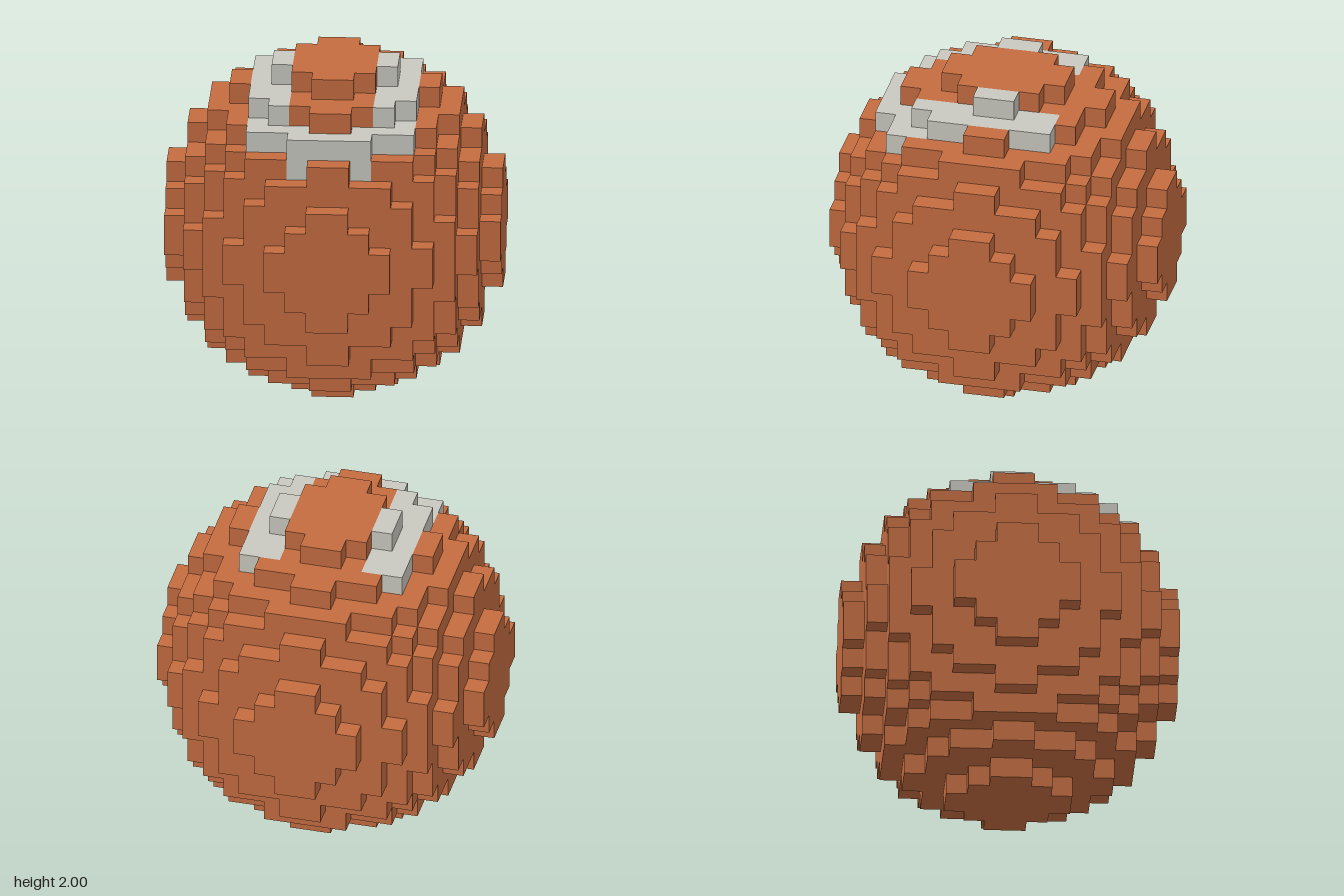
import * as THREE from 'three';
import { mergeGeometries } from 'three/addons/utils/BufferGeometryUtils.js';

const HALF = 8;              // blocks from centre to surface
const SIZE = 1 / HALF;       // edge of one block

// Is the block whose centre is (x, y, z), in block units, inside the ball?
const solid = (x, y, z) => x * x + y * y + z * z < HALF * HALF;

// U-shaped band painted over the crown, open towards the back
function inBand(x, y, z) {
  const ax = Math.abs(x);
  if (y < 0) return false;
  if (z > -3 && z < 4) return ax > 2 && ax < 4;   // two arms
  if (z === 4.5) return ax > 1 && ax < 4;         // corners of the bend
  if (z === 5.5) return ax < 2;                   // front of the bend
  return false;
}

// One square face, turned to each of the six directions
const faces = [
  [[0, 0, 1], (g) => g],
  [[0, 0, -1], (g) => g.rotateY(Math.PI)],
  [[1, 0, 0], (g) => g.rotateY(Math.PI / 2)],
  [[-1, 0, 0], (g) => g.rotateY(-Math.PI / 2)],
  [[0, 1, 0], (g) => g.rotateX(-Math.PI / 2)],
  [[0, -1, 0], (g) => g.rotateX(Math.PI / 2)],
].map(([dir, turn]) => {
  const geometry = turn(new THREE.PlaneGeometry(SIZE, SIZE));
  geometry.translate(...dir.map((d) => (d * SIZE) / 2));
  return { dir, geometry };
});

// Outer faces of all the blocks chosen by the test
function blockSurface(chosen) {
  const parts = [];
  for (let x = 0.5 - HALF; x < HALF; x++) {
    for (let y = 0.5 - HALF; y < HALF; y++) {
      for (let z = 0.5 - HALF; z < HALF; z++) {
        if (!solid(x, y, z) || !chosen(x, y, z)) continue;
        for (const { dir, geometry } of faces) {
          if (solid(x + dir[0], y + dir[1], z + dir[2])) continue;
          parts.push(geometry.clone().translate(x * SIZE, y * SIZE + 1, z * SIZE));
        }
      }
    }
  }
  return mergeGeometries(parts);
}

export function createModel() {
  const group = new THREE.Group();
  group.name = 'blockBall';

  const orange = new THREE.MeshStandardMaterial({ color: 0xc46c40 });
  orange.name = 'burntOrange';
  const grey = new THREE.MeshStandardMaterial({ color: 0xc9c8c0 });
  grey.name = 'paleGrey';

  // Stepped ball
  const ball = new THREE.Mesh(blockSurface((x, y, z) => !inBand(x, y, z)), orange);
  ball.name = 'ball';

  // Pale band on the crown
  const band = new THREE.Mesh(blockSurface(inBand), grey);
  band.name = 'crownBand';

  group.add(ball, band);
  return group;
}
